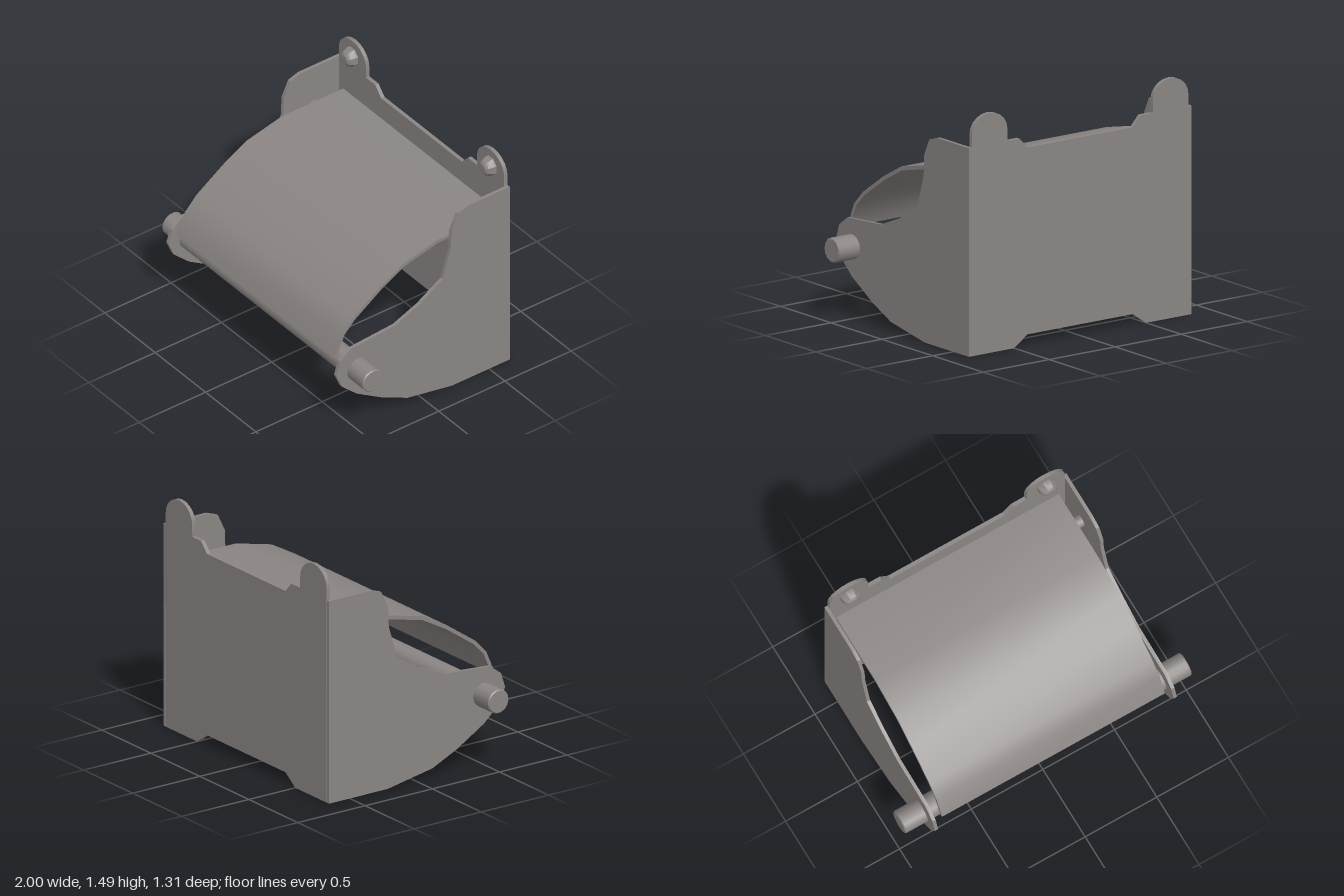
import * as THREE from 'three';
import { toCreasedNormals } from 'three/addons/utils/BufferGeometryUtils.js';

const steel = new THREE.MeshStandardMaterial({ color: 0x8b8684 });
steel.name = 'warm grey steel';

// Flat plate from an outline, centred on its thickness
function plate(points, depth) {
  const shape = new THREE.Shape(points.map(([a, b]) => new THREE.Vector2(a, b)));
  const geo = new THREE.ExtrudeGeometry(shape, { depth, bevelEnabled: false });
  return geo.translate(0, 0, -depth / 2);
}

// Plate whose outline is given as [z, y], spread along x
const sidePlate = (points, width) => plate(points, width).rotateY(-Math.PI / 2);

export function createModel() {
  const group = new THREE.Group();
  const add = (name, geo, x = 0, y = 0, z = 0) => {
    const mesh = new THREE.Mesh(toCreasedNormals(geo, 0.6), steel);
    mesh.name = name;
    mesh.position.set(x, y, z);
    group.add(mesh);
  };

  // Back plate with two rounded mounting ears and notched top and bottom
  const half = [[0.4, 0.07], [0.5, 0], [0.82, 0]];
  for (let i = 0; i <= 10; i++) {
    const a = (i / 10) * Math.PI;
    half.push([0.686 + 0.135 * Math.cos(a), 1.37 + 0.12 * Math.sin(a)]);
  }
  half.push([0.55, 1.295], [0.46, 1.295], [0.4, 1.23]);
  const mirrored = half.map(([x, y]) => [-x, y]).reverse();
  add('backPlate', plate([...half, ...mirrored], 0.025), 0, 0, -0.6425);

  // Curved side plates
  const side = [
    [-0.655, 0], [-0.22, 0], [0.115, 0.06], [0.3, 0.145], [0.5, 0.265], [0.615, 0.37],
    [0.655, 0.465], [0.625, 0.56], [0.545, 0.62], [0.21, 0.645], [0.03, 0.72], [-0.15, 0.83],
    [-0.21, 1.04], [-0.215, 1.165], [-0.265, 1.27], [-0.34, 1.295], [-0.655, 1.295],
  ];
  for (const s of [-1, 1]) {
    const label = s > 0 ? 'left' : 'right';
    add(label + 'SidePlate', sidePlate(side, 0.022), s * 0.833);

    // Domed screw head on the ear
    const dome = [[0, 0.067], [0.033, 0.065], [0.05, 0.052], [0.064, 0.02], [0.064, 0]]
      .reverse().map(([r, h]) => new THREE.Vector2(r, h));
    add(label + 'Screw', new THREE.LatheGeometry(dome, 8).rotateY(Math.PI / 8).rotateX(Math.PI / 2),
      s * 0.688, 1.377, -0.631);
  }

  // Curved cover sheet: outer edge forwards, inner edge back
  const cover = [
    [-0.63, 1.08], [-0.165, 1.08], [0.1, 1.017], [0.275, 0.92], [0.48, 0.78], [0.563, 0.693],
    [0.625, 0.548], [0.603, 0.54],
    [0.543, 0.683], [0.463, 0.763], [0.263, 0.9], [0.09, 0.994], [-0.168, 1.056], [-0.63, 1.056],
  ];
  add('cover', sidePlate(cover, 1.555));

  // Hinge pin under the cover and long front rod
  const rod = (r, length, sides) => new THREE.CylinderGeometry(r, r, length, sides).rotateZ(Math.PI / 2);
  add('hingePin', rod(0.041, 1.65, 12), 0, 1.013, -0.44);
  const end = [[0, -1], [0.07, -1], [0.077, -0.993], [0.077, 0.993], [0.07, 1], [0, 1]]
    .map(([r, h]) => new THREE.Vector2(r, h));
  add('frontRod', new THREE.LatheGeometry(end, 14).rotateZ(Math.PI / 2), 0, 0.45, 0.495);

  return group;
}
